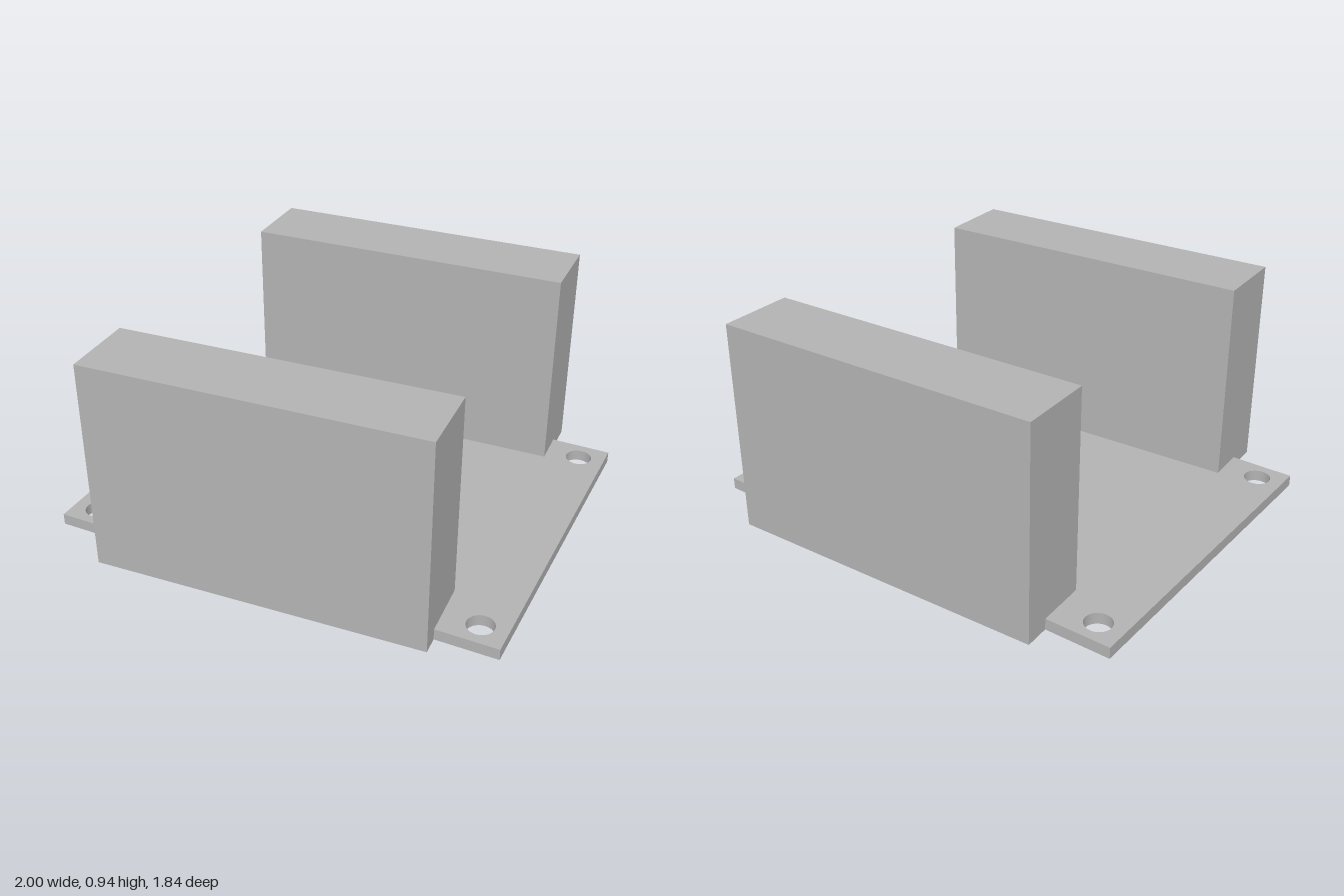
import * as THREE from 'three';

export function createModel() {
  const group = new THREE.Group();
  const grey = new THREE.MeshStandardMaterial({ color: 0xb2b2b2 });
  grey.name = 'plain grey';

  // Base plate with a screw hole in each corner
  const outline = new THREE.Shape([
    new THREE.Vector2(-1, -0.755), new THREE.Vector2(1, -0.755),
    new THREE.Vector2(1, 0.755), new THREE.Vector2(-1, 0.755),
  ]);
  for (const x of [-0.885, 0.885]) {
    for (const z of [-0.655, 0.655]) {
      outline.holes.push(new THREE.Path().absarc(x, z, 0.058, 0, Math.PI * 2, true));
    }
  }
  const plateGeometry = new THREE.ExtrudeGeometry(outline, {
    depth: 0.05, bevelEnabled: false, curveSegments: 24,
  });
  plateGeometry.rotateX(-Math.PI / 2);
  const plate = new THREE.Mesh(plateGeometry, grey);
  plate.name = 'basePlate';
  group.add(plate);

  // Upright blocks, each turned slightly about the vertical
  const height = 0.938;
  const addBlock = (name, x, z, length, depth, turn) => {
    const block = new THREE.Mesh(new THREE.BoxGeometry(length, height, depth), grey);
    block.name = name;
    block.position.set(x, height / 2, z);
    block.rotation.y = turn;
    group.add(block);
  };
  addBlock('frontBlock', 0.006, 0.709, 1.447, 0.332, 0.057);
  addBlock('backBlock', 0.011, -0.729, 1.444, 0.331, 0.039);

  return group;
}
